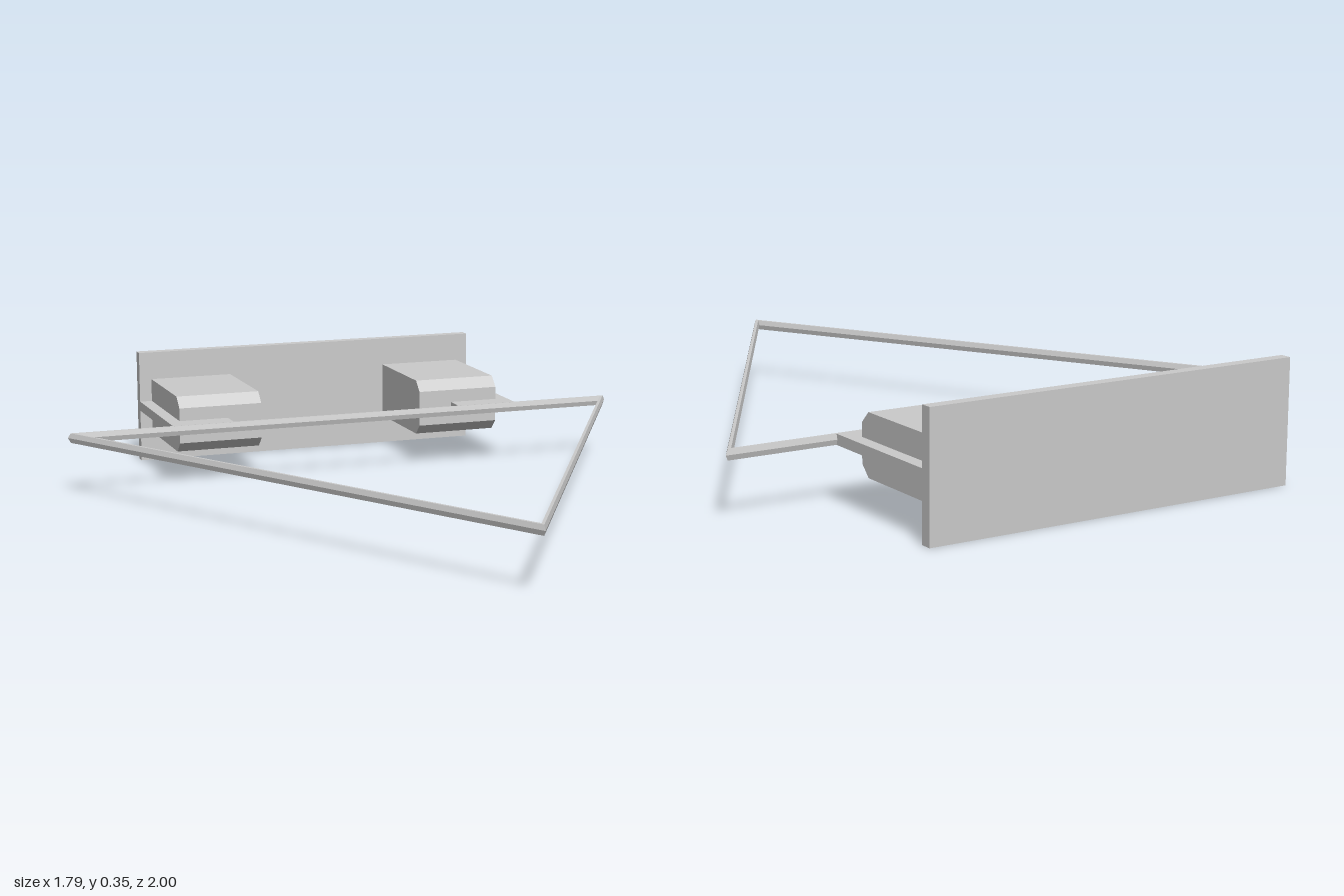
import * as THREE from 'three';

const material = new THREE.MeshStandardMaterial({ color: 0xcccccc, flatShading: true });

function addMesh(parent, name, geometry) {
  const mesh = new THREE.Mesh(geometry, material);
  mesh.name = name;
  parent.add(mesh);
  return mesh;
}

// Box given by its lower and upper limits on each axis
function addBox(parent, name, [x0, x1], [y0, y1], [z0, z1]) {
  const mesh = addMesh(parent, name, new THREE.BoxGeometry(x1 - x0, y1 - y0, z1 - z0));
  mesh.position.set((x0 + x1) / 2, (y0 + y1) / 2, (z0 + z1) / 2);
  return mesh;
}

// Block with chamfered front edges: side profile in (z, y), extruded across x
function blockGeometry(width) {
  const back = -0.967, front = -0.61, bottom = 0.092, top = 0.267, c = 0.032;
  const profile = new THREE.Shape([
    [back, bottom], [front - c, bottom], [front, bottom + c],
    [front, top - c], [front - c, top], [back, top],
  ].map(([z, y]) => new THREE.Vector2(z, y)));
  const geometry = new THREE.ExtrudeGeometry(profile, { depth: width, bevelEnabled: false });
  geometry.translate(0, 0, -width / 2);
  geometry.rotateY(-Math.PI / 2); // profile z axis onto world z
  return geometry;
}

export function createModel() {
  const model = new THREE.Group();
  model.name = 'triangleFrameWithMount';
  const midY = 0.18;

  // Triangular rod frame: a three-sided ring with a hexagonal section, apex forward
  const rod = 0.017;
  const ring = new THREE.TorusGeometry(1.033 - rod, rod, 6, 3);
  ring.rotateX(Math.PI / 2);
  ring.rotateY(-Math.PI / 2);
  addMesh(model, 'triangleFrame', ring).position.set(0, midY, -0.033);

  // Upright plate at the back
  addBox(model, 'backPlate', [-0.57, 0.57], [0, 0.355], [-1, -0.966]);

  // Mirrored blocks and the thin arms joining plate to frame
  for (const [side, s] of [['left', 1], ['right', -1]]) {
    const mount = new THREE.Group();
    mount.name = side + 'Mount';
    addMesh(mount, side + 'Block', blockGeometry(0.265)).position.x = s * 0.3985;
    const arm = addBox(mount, side + 'Arm', [0.375, 0.57], [midY - 0.015, midY + 0.015], [-0.967, -0.54]);
    arm.position.x *= s;
    model.add(mount);
  }
  return model;
}
